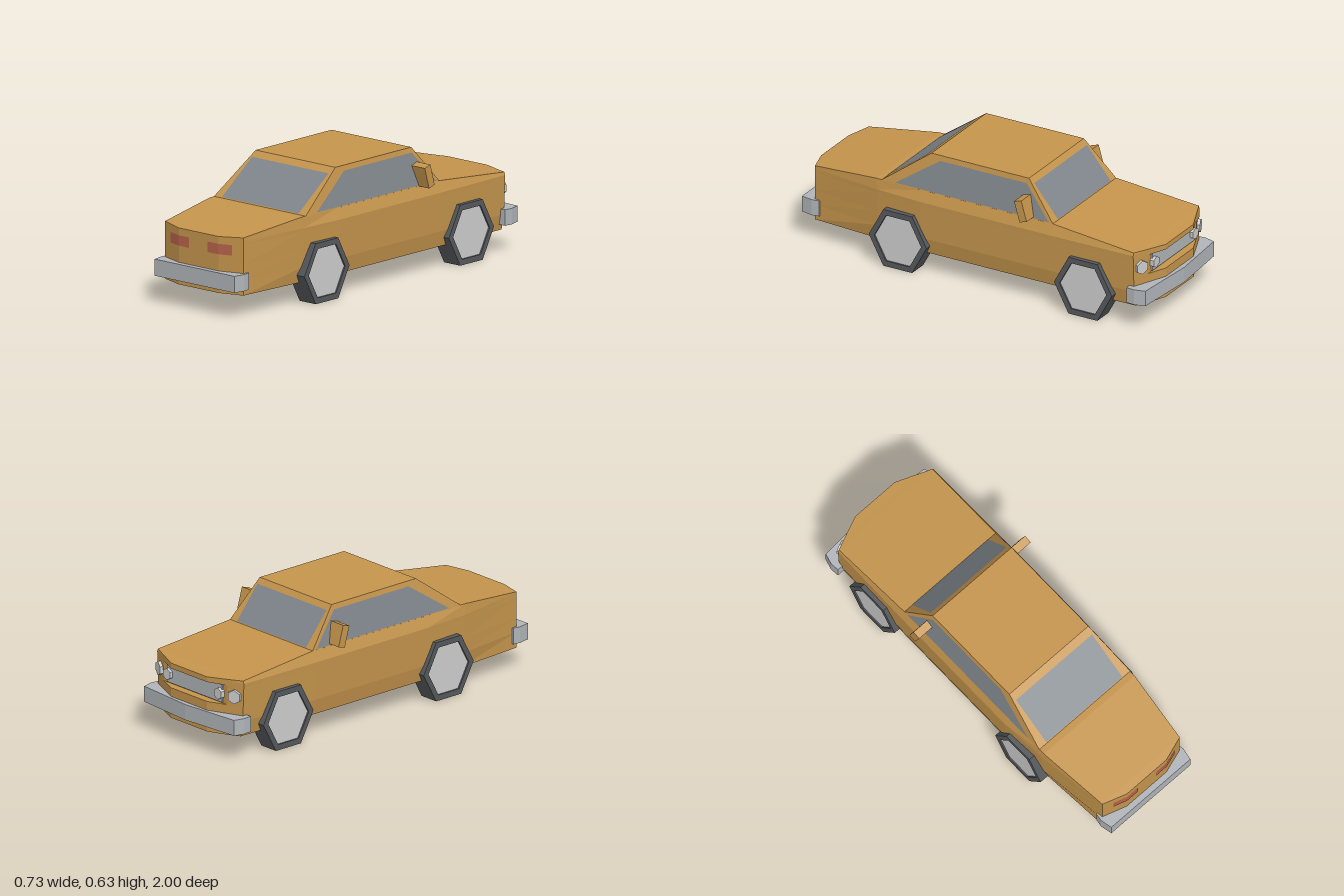
import * as THREE from 'three';

const mat = (color, side = THREE.FrontSide) => new THREE.MeshStandardMaterial({ color, side, flatShading: true });
const paint = mat(0xc4944c);
const glass = mat(0x80868c, THREE.DoubleSide);
const chrome = mat(0xb0b4b8);
const rubber = mat(0x55585b);
const hubGrey = mat(0xcccccc);
const red = mat(0xb5614a, THREE.DoubleSide);

const flip = ([x, y, z]) => [-x, y, z];

// Geometry from quads given as four corners, anticlockwise from outside
function quads(list) {
  const pos = [];
  for (const [a, b, c, d] of list) pos.push(...a, ...b, ...c, ...a, ...c, ...d);
  const g = new THREE.BufferGeometry();
  g.setAttribute('position', new THREE.Float32BufferAttribute(pos, 3));
  g.computeVertexNormals();
  return g;
}

// Closed mirrored solid: each ring lists its +x half from +z to -z, rings go upward
function loft(halves) {
  const rings = halves.map(h => [...h, ...h.map(flip).reverse()]);
  const faces = [];
  for (let k = 0; k + 1 < rings.length; k++) {
    const a = rings[k], b = rings[k + 1], n = a.length;
    for (let i = 0; i < n; i++) {
      const j = (i + 1) % n;
      faces.push([a[i], a[j], b[j], b[i]]);
    }
  }
  const bottom = halves[0], top = halves[halves.length - 1];
  for (let i = 0; i + 1 < top.length; i++) {
    faces.push([top[i], top[i + 1], flip(top[i + 1]), flip(top[i])]);
    faces.push([bottom[i + 1], bottom[i], flip(bottom[i]), flip(bottom[i + 1])]);
  }
  return quads(faces);
}

// Plan outline of the body at one height; the recess flattens the middle of the nose
const bodyRing = (y, w, recessed = false) => [
  [0.13, y, 0.97], [0.255, y, 0.93], [w - 0.015, y, 0.55], [w, y, 0.3],
  [w, y, -0.44], [w - 0.006, y, -0.9], [0.23, y, -0.933], [0.13, y, recessed ? -0.933 : -0.975],
];

export function createModel() {
  const car = new THREE.Group();
  car.name = 'car';
  const add = (name, geometry, material, parent = car) => {
    const m = new THREE.Mesh(geometry, material);
    m.name = name;
    parent.add(m);
    return m;
  };

  // Lower body with the grille recess and the sloping deck and hood
  add('body', loft([
    bodyRing(0.11, 0.296), bodyRing(0.19, 0.312),
    bodyRing(0.265, 0.315), bodyRing(0.265, 0.315, true),
    bodyRing(0.365, 0.319, true), bodyRing(0.365, 0.319),
    bodyRing(0.385, 0.32),
    [[0.13, 0.392, 0.97], [0.255, 0.398, 0.93], [0.298, 0.44, 0.56], [0.3, 0.44, 0.3],
      [0.3, 0.44, -0.44], [0.308, 0.4, -0.9], [0.23, 0.396, -0.933], [0.13, 0.392, -0.975]],
  ]), paint);

  // Cabin
  add('cabin', loft([
    [[0.3, 0.438, 0.53], [0.3, 0.438, -0.44]],
    [[0.26, 0.63, 0.27], [0.26, 0.63, -0.28]],
  ]), paint);

  // Windows, lying just outside the cabin walls
  const y0 = 0.444, y1 = 0.605, out = 0.003;
  const t = y => (y - 0.438) / 0.192;
  const endZ = (y, s) => (s > 0 ? 0.53 - 0.26 * t(y) + out : -0.44 + 0.16 * t(y) - out);
  const sideX = y => 0.3 - 0.04 * t(y) + out;
  for (const s of [1, -1]) {
    add(s > 0 ? 'frontWindow' : 'backWindow', quads([[
      [-0.25 * s, y0, endZ(y0, s)], [0.25 * s, y0, endZ(y0, s)],
      [0.25 * s, y1, endZ(y1, s)], [-0.25 * s, y1, endZ(y1, s)],
    ]]), glass);
    const pane = [[sideX(y0), y0, 0.45], [sideX(y0), y0, -0.415], [sideX(y1), y1, -0.272], [sideX(y1), y1, 0.215]];
    add(s > 0 ? 'leftWindow' : 'rightWindow', quads([s > 0 ? pane : pane.map(flip).reverse()]), glass);
  }

  // Wrap-around bumpers, extruded upward from their plan outlines
  const bumper = (name, half, y, height) => {
    const outline = [...half, ...half.map(([x, z]) => [-x, z]).reverse()];
    const shape = new THREE.Shape(outline.map(([x, z]) => new THREE.Vector2(x, -z)));
    const g = new THREE.ExtrudeGeometry(shape, { depth: height, bevelEnabled: false });
    add(name, g.rotateX(-Math.PI / 2).translate(0, y, 0), chrome);
  };
  bumper('noseBumper', [[0, -1], [0.325, -0.975], [0.34, -0.92], [0.336, -0.875], [0.29, -0.875], [0.27, -0.9]], 0.14, 0.08);
  bumper('tailBumper', [[0.26, 1], [0.272, 0.94], [0.266, 0.9], [0.23, 0.9]], 0.137, 0.083);

  // Grille in the recess
  add('grille', new THREE.BoxGeometry(0.4, 0.09, 0.012), chrome).position.set(0, 0.315, -0.934);

  for (const s of [1, -1]) {
    const side = s > 0 ? 'left' : 'right';

    // Hexagonal lamps: outer one on the angled corner, inner one in the recess
    for (const [name, r, x, z, turn] of [['OuterLamp', 0.036, 0.27, -0.92, 0.4], ['InnerLamp', 0.03, 0.185, -0.943, 0]]) {
      const g = new THREE.CylinderGeometry(r, r, 0.025, 6).rotateX(Math.PI / 2);
      const lamp = add(side + name, g, hubGrey);
      lamp.position.set(s * x, 0.315, z);
      lamp.rotation.y = -s * turn;
    }

    // Red lamps folded around the bend of the +z end
    const strip = [[0.06, 0.973], [0.13, 0.973], [0.2, 0.951]];
    const folded = [0, 1].map(i => {
      const [[xa, za], [xb, zb]] = [strip[i], strip[i + 1]];
      const q = [[xa, 0.304, za], [xb, 0.304, zb], [xb, 0.356, zb], [xa, 0.356, za]];
      return s > 0 ? q : q.map(flip).reverse();
    });
    add(side + 'RedLamp', quads(folded), red);

    // Door mirror, leaning
    const mirror = add(side + 'Mirror', new THREE.BoxGeometry(0.09, 0.11, 0.042), paint);
    mirror.position.set(s * 0.322, 0.498, -0.295);
    mirror.rotation.x = 0.28;

    // Six-sided wheels: tyre ring with a shallow inset hub
    for (const [end, z] of [['Tail', 0.415], ['Nose', -0.63]]) {
      const wheel = new THREE.Group();
      wheel.name = side + end + 'Wheel';
      const hex = r => Array.from({ length: 6 }, (_, i) =>
        new THREE.Vector2(r * Math.cos(i * Math.PI / 3), r * 1.07 * Math.sin(i * Math.PI / 3)));
      const ring = new THREE.Shape(hex(0.163));
      ring.holes.push(new THREE.Path(hex(0.132)));
      add('tyre', new THREE.ExtrudeGeometry(ring, { depth: 0.105, bevelEnabled: false }), rubber, wheel);
      add('innerWall', new THREE.ExtrudeGeometry(new THREE.Shape(hex(0.133)), { depth: 0.09, bevelEnabled: false }), rubber, wheel);
      add('hub', new THREE.ExtrudeGeometry(new THREE.Shape(hex(0.131)), { depth: 0.008, bevelEnabled: false }), hubGrey, wheel).position.z = 0.09;
      wheel.position.set(s * 0.232, 0.152, z);
      wheel.rotation.y = s * Math.PI / 2;
      car.add(wheel);
    }
  }
  return car;
}
